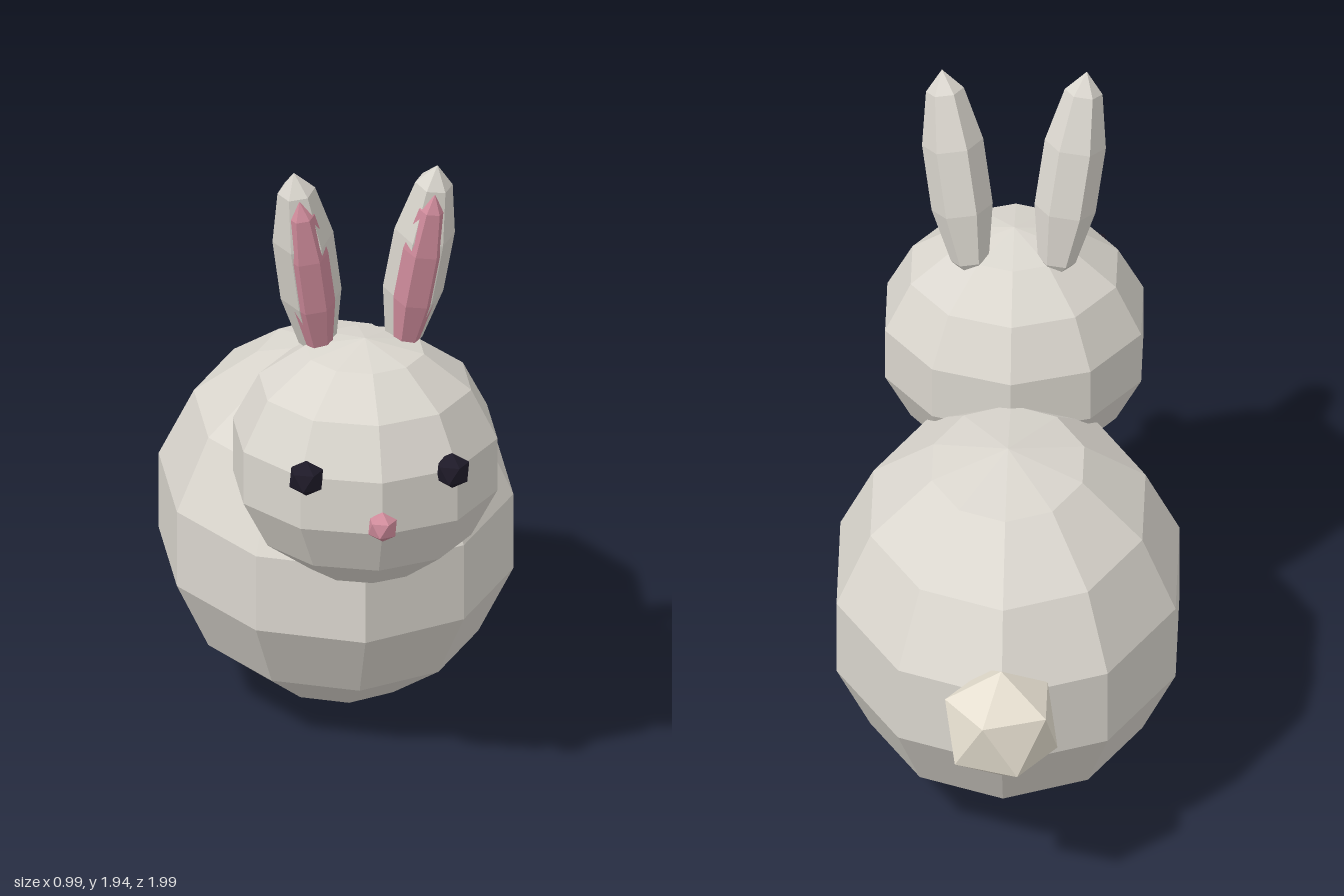
import * as THREE from 'three';

const material = (color) => new THREE.MeshStandardMaterial({ color, flatShading: true });

export function createModel() {
  const model = new THREE.Group();
  model.name = 'rabbit';
  const fur = material(0xdad6ce);
  const tailFur = material(0xe6dfd0);
  const pink = material(0xd08c9c);
  const dark = material(0x1e1a28);

  function add(parent, name, geometry, mat, x, y, z) {
    const mesh = new THREE.Mesh(geometry, mat);
    mesh.name = name;
    mesh.position.set(x, y, z);
    parent.add(mesh);
    return mesh;
  }

  // Ten-sided ellipsoid with corners on the front and back centre line
  const ellipsoid = (rx, ry, rz) =>
    new THREE.SphereGeometry(1, 10, 7).rotateY(Math.PI / 2).scale(rx, ry, rz);

  // Icosahedron standing on one corner
  const ball = (r) =>
    new THREE.IcosahedronGeometry(r, 0).rotateZ(-Math.atan(2 / (1 + Math.sqrt(5))));

  // Six-sided slender spindle for the ears
  const spindle = (rx, ry, rz) => new THREE.SphereGeometry(1, 6, 5).scale(rx, ry, rz);

  add(model, 'body', ellipsoid(0.535, 0.535, 0.695), fur, 0, 0.535, -0.115);
  add(model, 'head', ellipsoid(0.404, 0.373, 0.404), fur, 0, 1.021, 0.555);
  add(model, 'tail', ball(0.184), tailFur, 0, 0.593, -0.838);
  add(model, 'nose', ball(0.047), pink, 0, 0.968, 0.956);

  // Eyes and ears, mirrored
  for (const [side, label] of [[1, 'left'], [-1, 'right']]) {
    add(model, label + 'Eye', ball(0.056), dark, side * 0.215, 1.103, 0.88);

    const ear = new THREE.Group();
    ear.name = label + 'Ear';
    model.add(ear);
    const outer = add(ear, label + 'OuterEar', spindle(0.095, 0.337, 0.095), fur, side * 0.165, 1.615, 0.504);
    const inner = add(ear, label + 'InnerEar', spindle(0.066, 0.285, 0.058), pink, side * 0.16, 1.588, 0.55);
    for (const part of [outer, inner]) part.rotation.set(0.19, 0, -side * 0.14);
  }
  return model;
}
